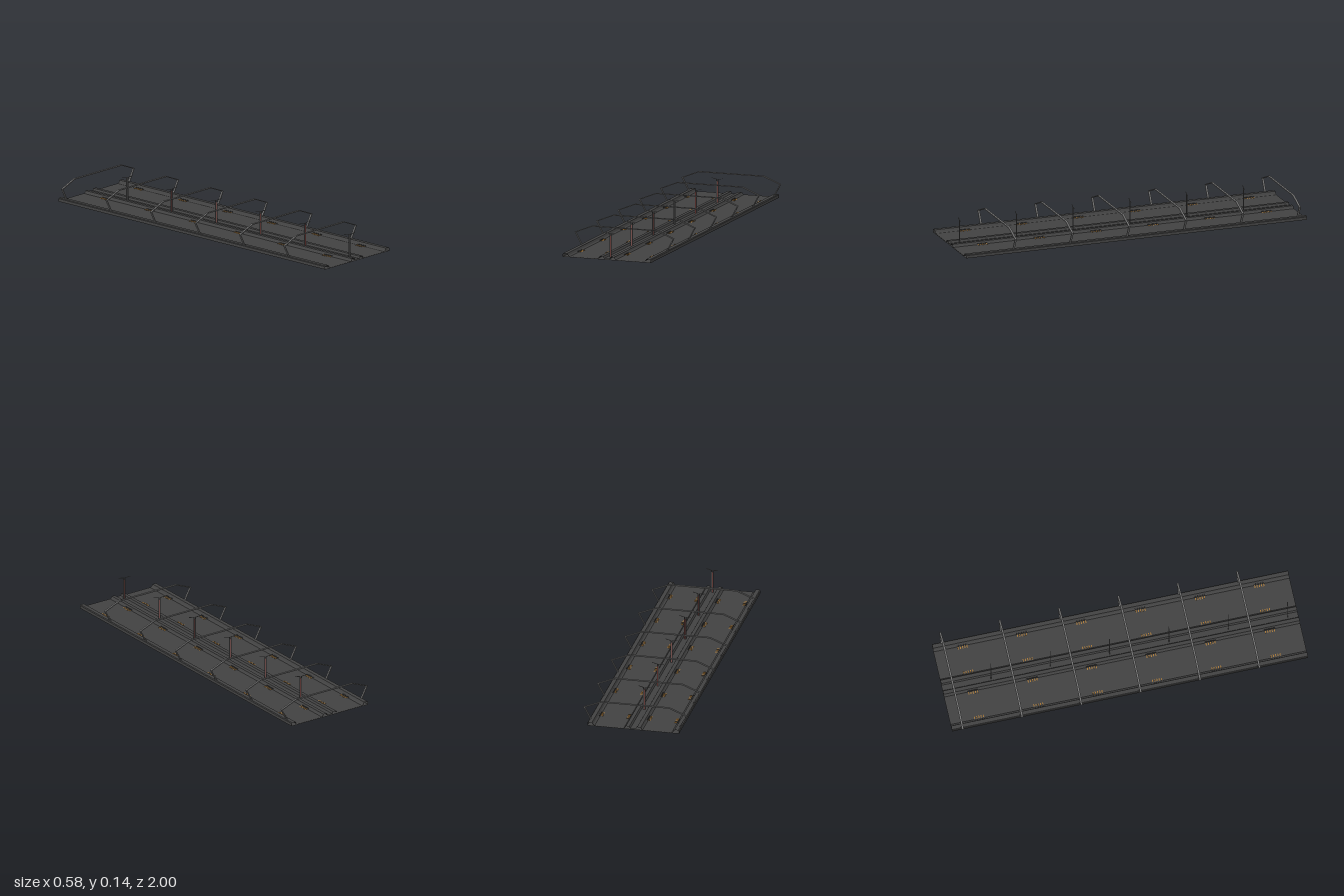
import * as THREE from 'three';

const mat = (color, side = THREE.FrontSide) =>
  new THREE.MeshStandardMaterial({ color, side, flatShading: true });

const COUNT = 6, PITCH = 1 / 3;

// Open-ended strip swept along z from a closed, counter-clockwise outline
function sweepZ(outline, z0, z1) {
  const pos = [];
  outline.forEach(([x0, y0], i) => {
    const [x1, y1] = outline[(i + 1) % outline.length];
    pos.push(x0, y0, z1, x1, y1, z0, x1, y1, z1, x0, y0, z1, x0, y0, z0, x1, y1, z0);
  });
  // corners run so that each face points outward
  for (let i = 0; i < pos.length; i += 9) {
    for (let k = 0; k < 3; k++) {
      [pos[i + 3 + k], pos[i + 6 + k]] = [pos[i + 6 + k], pos[i + 3 + k]];
    }
  }
  for (let i = 9; i < pos.length; i += 18) {
    for (let k = 0; k < 3; k++) {
      [pos[i + 3 + k], pos[i + 6 + k]] = [pos[i + 6 + k], pos[i + 3 + k]];
    }
  }
  const g = new THREE.BufferGeometry();
  g.setAttribute('position', new THREE.Float32BufferAttribute(pos, 3));
  g.computeVertexNormals();
  return g;
}

// Rectangular bar of given thickness that follows points in the xy plane
function barXY(points, thick, depth) {
  const p = points.map(([x, y]) => new THREE.Vector2(x, y));
  const dir = (a, b) => b.clone().sub(a).normalize();
  const outer = [], inner = [];
  p.forEach((v, i) => {
    const d0 = dir(p[Math.max(i - 1, 0)], p[Math.max(i, 1)]);
    const d1 = dir(p[Math.min(i, p.length - 2)], p[Math.min(i + 1, p.length - 1)]);
    const n0 = new THREE.Vector2(-d0.y, d0.x);
    const n = n0.clone().add(new THREE.Vector2(-d1.y, d1.x)).normalize();
    n.multiplyScalar(thick / 2 / n.dot(n0));
    outer.push(v.clone().add(n));
    inner.unshift(v.clone().sub(n));
  });
  const g = new THREE.ExtrudeGeometry(new THREE.Shape([...outer, ...inner]),
    { depth, bevelEnabled: false });
  return g.translate(0, 0, -depth / 2);
}

function add(parent, name, geometry, material, x = 0, y = 0, z = 0) {
  const m = new THREE.Mesh(geometry, material);
  m.name = name;
  m.position.set(x, y, z);
  parent.add(m);
  return m;
}

export function createModel() {
  const model = new THREE.Group();
  model.name = 'highwaySection';
  const asphalt = mat(0x424242, THREE.DoubleSide);
  const steel = mat(0x707070), lampSteel = mat(0x606060);
  const orange = mat(0xa87838), red = mat(0x8a3a34), dark = mat(0x2c2c2c);

  // Road deck: outer kerbs, two carriageways and a double median kerb
  const half = [
    [0.258, 0], [0.258, 0.016], [0.254, 0.02], [0.232, 0.02], [0.226, 0.008],
    [0.217, 0.003], [0.21, 0.004], [0.06, 0.004], [0.053, 0.003], [0.047, 0.008],
    [0.042, 0.017], [0.022, 0.017], [0.016, 0.006],
  ];
  const outline = [...half, ...half.map(([x, y]) => [-x, y]).reverse()];
  add(model, 'roadDeck', sweepZ(outline, -1, 1), asphalt);

  // Shared shapes
  const archGeo = barXY([[-0.245, 0.008], [-0.287, 0.086], [-0.19, 0.125],
    [0.19, 0.125], [0.287, 0.086], [0.245, 0.008]], 0.005, 0.011);
  const poleGeo = new THREE.BoxGeometry(0.004, 0.136, 0.004);
  const stripGeo = new THREE.BoxGeometry(0.003, 0.12, 0.001);
  const armGeo = barXY([[0.003, 0.136], [0.016, 0.138], [0.035, 0.141]], 0.002, 0.004);
  const stripeGeo = new THREE.BoxGeometry(0.014, 0.002, 0.005);
  const drainGeo = new THREE.BoxGeometry(0.006, 0.002, 0.06);

  for (let i = 0; i < COUNT; i++) {
    // Gantry arch over both carriageways
    add(model, 'arch', archGeo, steel, 0, 0, -0.946 + i * PITCH);

    // Twin-pole lamp with two arms, turned slightly on the median
    const lamp = new THREE.Group();
    lamp.name = 'medianLamp';
    lamp.position.z = -0.725 + i * PITCH;
    lamp.rotation.y = -0.2;
    for (const s of [-1, 1]) {
      add(lamp, 'lampPole', poleGeo, lampSteel, s * 0.004, 0.068, 0);
      const arm = add(lamp, 'lampArm', armGeo, lampSteel);
      if (s < 0) arm.rotation.y = Math.PI;
    }
    add(lamp, 'lampBackStrip', stripGeo, red, 0, 0.066, -0.001);
    model.add(lamp);

    // Warning stripes and drains along the lane edges
    const z = -0.838 + i * PITCH;
    for (const s of [-1, 1]) {
      for (const [x, drainX, tilt] of [[0.2075, 0.221, 0.1], [0.0625, 0.049, -0.1]]) {
        for (let k = 0; k < 5; k++) {
          const stripe = add(model, 'laneStripe', stripeGeo, orange,
            s * x, 0.0047, z + (k - 2) * 0.0125);
          stripe.rotation.z = s * tilt;
        }
        add(model, 'drain', drainGeo, dark, s * drainX, 0.0065, z);
      }
    }
  }
  return model;
}
